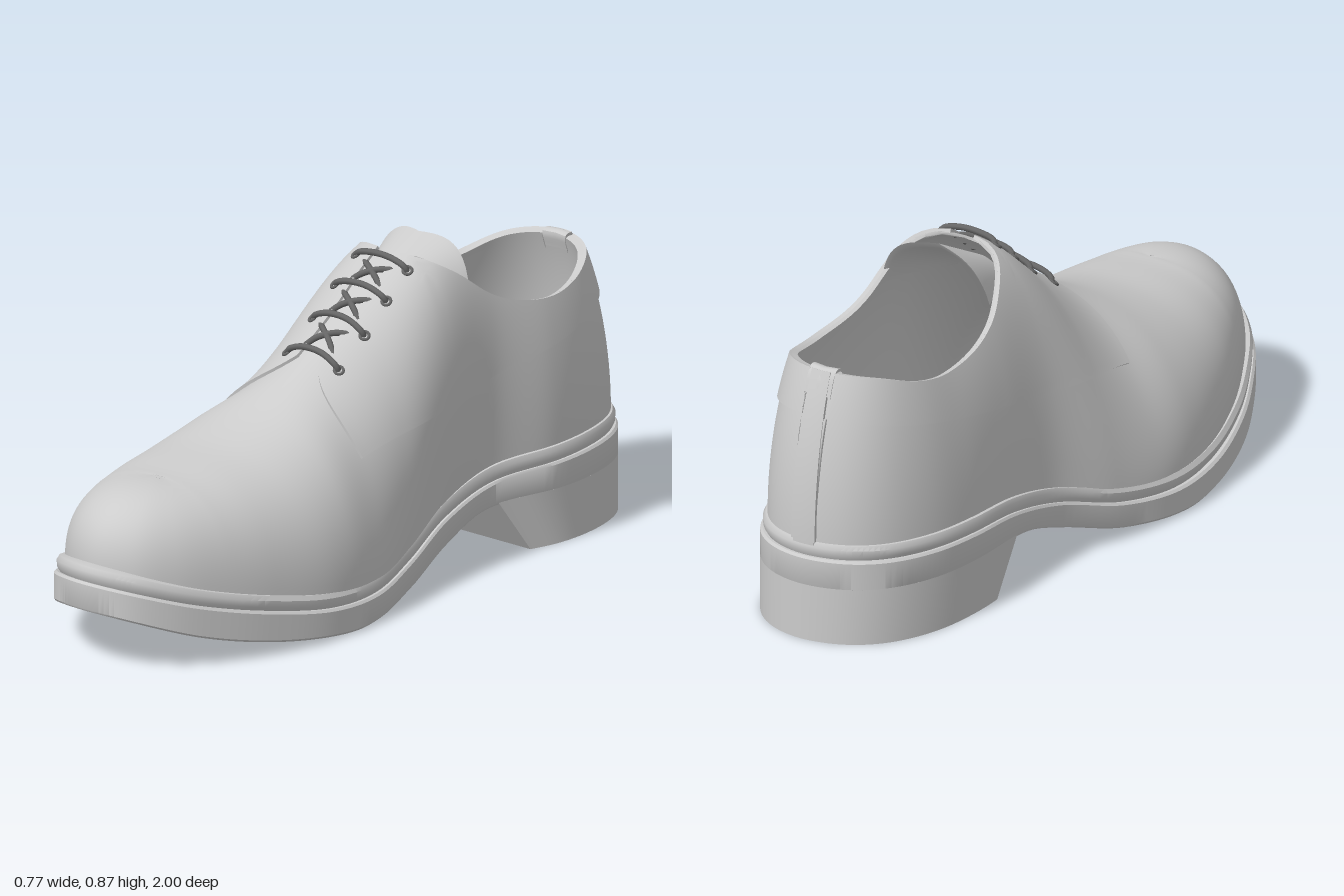
import * as THREE from 'three';
import { toCreasedNormals } from 'three/addons/utils/BufferGeometryUtils.js';

const V = (x, y, z) => new THREE.Vector3(x, y, z);
const lerp = THREE.MathUtils.lerp;
const material = new THREE.MeshStandardMaterial({ color: 0xcccccc, side: THREE.DoubleSide });
const laceMaterial = new THREE.MeshStandardMaterial({ color: 0x666666 });

// Smooth curve through [z, value] pairs
function track(pairs) {
  const slope = i => {
    const a = pairs[Math.max(i - 1, 0)], b = pairs[Math.min(i + 1, pairs.length - 1)];
    return (b[1] - a[1]) / (b[0] - a[0]);
  };
  return z => {
    z = THREE.MathUtils.clamp(z, pairs[0][0], pairs[pairs.length - 1][0]);
    let i = 0;
    while (i < pairs.length - 2 && z > pairs[i + 1][0]) i++;
    const [z0, y0] = pairs[i], [z1, y1] = pairs[i + 1];
    const h = z1 - z0, s = (z - z0) / h, r = 1 - s;
    return y0 * r * r * (1 + 2 * s) + y1 * s * s * (3 - 2 * s) + h * s * r * (slope(i) * r - slope(i + 1) * s);
  };
}

// Plan outline stations: z, left edge (+x), right edge (-x)
const stations = [
  [-1, 0, 0], [-0.97, 0.115, -0.12], [-0.89, 0.2, -0.21], [-0.76, 0.25, -0.268], [-0.6, 0.262, -0.288],
  [-0.4, 0.222, -0.282], [-0.2, 0.24, -0.288], [0, 0.295, -0.345], [0.2, 0.362, -0.382], [0.4, 0.385, -0.37],
  [0.6, 0.352, -0.315], [0.76, 0.301, -0.24], [0.88, 0.243, -0.163], [0.965, 0.165, -0.062], [1, 0.055, 0.055]];
const outline = new THREE.CatmullRomCurve3([
  ...stations.map(s => V(s[1], 0, s[0])),
  ...stations.slice(1, -1).reverse().map(s => V(s[2], 0, s[0]))], true, 'catmullrom', 0.5);
const plan = t => outline.getPoint(((t % 1) + 1) % 1);

// Lengthwise profiles
const centre = track([[-1, 0], [-0.6, -0.012], [-0.4, -0.028], [-0.2, -0.018], [0, 0], [0.3, 0.02], [0.6, 0.04], [0.7, 0.045], [1, 0.045]]);
const lean = track([[-1, 0], [-0.6, 0.035], [-0.4, 0.045], [-0.2, 0.05], [0, 0.035], [0.3, 0.008], [0.5, 0], [1, 0]]);
const fit = track([[-1, 0.93], [-0.4, 0.935], [0, 0.955], [1, 0.96]]);
const soleBottom = track([[-1, 0.15], [-0.41, 0.14], [-0.33, 0.13], [-0.2, 0.09], [0, 0.03], [0.25, 0.002],
  [0.4, 0.01], [0.6, 0.035], [0.8, 0.08], [1, 0.152]]);
const soleTop = track([[-1, 0.235], [-0.6, 0.222], [-0.4, 0.205], [-0.2, 0.16], [0, 0.1], [0.2, 0.076],
  [0.4, 0.085], [0.6, 0.118], [0.8, 0.165], [1, 0.23]]);
const weltTop = z => soleTop(z) + 0.044;
const ridge = track([[-1, 1.02], [-0.85, 0.98], [-0.6, 0.9], [-0.4, 0.9], [-0.2, 0.845], [0, 0.7], [0.15, 0.602],
  [0.3, 0.525], [0.45, 0.478], [0.6, 0.457], [0.7, 0.448], [1, 0.448]]);
const fullness = track([[-1, 1.9], [-0.8, 1.95], [-0.6, 2.15], [-0.35, 2.7], [-0.2, 2.7], [0, 1.95], [0.15, 1.75],
  [0.3, 2.1], [0.6, 2.4], [1, 2.5]]);
const collar = track([[-1, 0.725], [-0.9, 0.708], [-0.75, 0.673], [-0.62, 0.66], [-0.5, 0.675], [-0.4, 0.715], [-0.3, 0.785], [-0.2, 0.845]]);
const seam = track([[-1, 0.61], [-0.6, 0.535], [-0.3, 0.48], [0, 0.44], [0.2, 0.405]]);

// Superellipse cross-section of the upper at outline parameter t
function section(t) {
  const o = plan(t), z = o.z * 0.973 - 0.01, c = centre(z), b = weltTop(z) - 0.015;
  return { z, c, b, W: (o.x - c) * fit(z), H: ridge(z) - b, n: fullness(z) };
}
// Point on the upper; a runs from the welt (0) to the ridge (PI / 2), k shrinks it for the lining
function surface(t, a, k = 1) {
  const { z, c, b, W, H, n } = section(t);
  const w = k * Math.max(Math.cos(a), 0) ** (2 / n), v = Math.max(Math.sin(a), 0) ** (2 / n);
  const zz = z < -0.6 ? -0.6 + (z + 0.6) * w : z > 0.7 ? 0.7 + (z - 0.7) * w : z;
  return V(c + W * w + lean(z) * v, b + H * v * (0.8 + 0.2 * k), zz);
}
function raised(t, a, offset) {
  const p = surface(t, a), e = 1e-3, m = THREE.MathUtils.clamp(a, 0.02, Math.PI / 2 - 0.03);
  const up = surface(t, m + e).sub(surface(t, m - e));
  const along = surface(t + e, m).sub(surface(t - e, m));
  return p.addScaledVector(up.cross(along).normalize(), offset);
}
const angleAtHeight = (t, y) => {
  const { b, H, n } = section(t);
  return Math.asin(THREE.MathUtils.clamp((y - b) / H, 0, 1) ** (n / 2));
};
const angleAtWidth = (t, half) => {
  const { W, n } = section(t);
  return Math.acos(Math.min(half / Math.max(Math.abs(W), 1e-6), 1) ** (n / 2));
};
const rimAngle = t => {
  const { z } = section(t);
  return z > -0.2 ? Math.PI / 2 : angleAtHeight(t, collar(z));
};
function solve(f, target) {
  let lo = 0, hi = 0.5;
  for (let i = 0; i < 40; i++) {
    const m = (lo + hi) / 2;
    if (f(m) < target) lo = m; else hi = m;
  }
  return lo;
}
const upperT = z => solve(t => section(t).z, z);

// Mesh from a grid of points, f(i, j)
function sheet(name, cols, rows, f, crease = 0.6) {
  const pos = [], index = [];
  for (let i = 0; i <= cols; i++) for (let j = 0; j <= rows; j++) pos.push(...f(i, j).toArray());
  for (let i = 0; i < cols; i++) for (let j = 0; j < rows; j++) {
    const a = i * (rows + 1) + j, b = a + rows + 1;
    index.push(a, a + 1, b, b, a + 1, b + 1);
  }
  let g = new THREE.BufferGeometry();
  g.setAttribute('position', new THREE.Float32BufferAttribute(pos, 3));
  g.setIndex(index);
  g = toCreasedNormals(g.scale(100, 100, 100), crease).scale(0.01, 0.01, 0.01);
  const mesh = new THREE.Mesh(g, material);
  mesh.name = name;
  return mesh;
}
// Layer following the outline; the profile lists [inset, height function], closed to the centre
function layer(name, profile) {
  const N = 224, last = profile.length + 1;
  return sheet(name, N, last, (i, j) => {
    const [inset, y] = profile[THREE.MathUtils.clamp(j - 1, 0, last - 2)];
    const o = plan(i / N), c = centre(o.z);
    const k = j === 0 || j === last ? 0 : 1 - inset / 0.33;
    return V(c + (o.x - c) * k, y(o.z), o.z * (1 - inset));
  });
}
// Raised panel whose border drops back onto the upper
function panel(name, cols, rows, offset, at) {
  return sheet(name, cols + 2, rows + 2, (i, j) => {
    const border = i === 0 || j === 0 || i === cols + 2 || j === rows + 2;
    const u = THREE.MathUtils.clamp((i - 1) / cols, 0, 1), q = THREE.MathUtils.clamp((j - 1) / rows, 0, 1);
    const [t, a] = at(u, q);
    return raised(t, a, border ? -0.003 : offset);
  });
}

export function createModel() {
  const shoe = new THREE.Group();
  shoe.name = 'shoe';

  // Sole, welt and insole
  shoe.add(layer('sole', [[0.004, soleBottom], [0, z => soleBottom(z) + 0.006], [0, z => soleTop(z) - 0.006], [0.006, soleTop]]));
  shoe.add(layer('welt', [[0.016, z => soleTop(z) - 0.005], [0.008, z => soleTop(z) + 0.01],
    [0.007, z => soleTop(z) + 0.028], [0.014, z => soleTop(z) + 0.04], [0.06, weltTop]]));
  shoe.add(layer('insole', [[0.045, z => weltTop(z) - 0.01], [0.045, z => weltTop(z) + 0.005]]));

  // Heel block with a slanted breast
  const topT = solve(t => plan(t).z, -0.41), footT = solve(t => plan(t).z, -0.51), HN = 80;
  shoe.add(sheet('heel', HN + 2, 3, (i, j) => {
    const u = THREE.MathUtils.clamp((i - 1) / HN, 0, 1) * 2 - 1;
    const low = j < 2, o = plan(u * (low ? footT : topT));
    const inner = j === 0 || j === 3 || i === 0 || i === HN + 2;
    return V(inner ? centre(o.z) : o.x, low ? 0 : soleBottom(o.z) + 0.006, o.z);
  }));

  // Upper with its rim and lining
  const N = 280, M = 24;
  shoe.add(sheet('upper', N, 2 * M + 1, (i, j) => {
    const t = i / N, rim = rimAngle(t);
    return j <= M ? surface(t, rim * j / M) : surface(t, rim * (2 * M + 1 - j) / M, 0.94);
  }, 0.9));

  // Lacing quarters, mirrored in parameter from side to side
  const frontT = upperT(0.178);
  for (const side of [1, -1]) {
    shoe.add(panel(side > 0 ? 'leftQuarter' : 'rightQuarter', 110, 24, 0.008, (u, q) => {
      const s = side > 0 ? u : 1 - u, edge = frontT - 0.012 * q ** 4 - 0.003 * (1 - q) ** 4;
      const t = side * s * edge, high = Math.min(rimAngle(t), angleAtWidth(t, 0.036));
      return [t, lerp(angleAtHeight(t, seam(section(t).z)), high, q)];
    }));
  }

  // Back strap and the tab folded over the rim
  const strapT = 0.011;
  shoe.add(panel('backStrap', 8, 20, 0.011, (u, q) => {
    const t = lerp(-strapT, strapT, u);
    return [t, lerp(0.02, rimAngle(t), q)];
  }));
  const rim = rimAngle(0);
  const tabCurve = new THREE.CatmullRomCurve3([raised(0, rim - 0.1, 0.011), raised(0, rim - 0.02, 0.011),
    surface(0, rim).add(V(0, 0.008, 0)), surface(0, rim, 0.94).add(V(0, 0.007, 0.004)),
    surface(0, rim - 0.06, 0.94).add(V(0, 0, 0.007))]);
  shoe.add(sheet('backTab', 4, 16, (i, j) => {
    const x = (THREE.MathUtils.clamp(i, 1, 3) - 2) * 0.04, p = tabCurve.getPoint(j / 16);
    const border = i === 0 || i === 4;
    return V(x, p.y - (border ? 0.008 : 0), p.z + 0.007 * Math.abs(x) / 0.04);
  }));

  // Tongue flaring out of the throat
  shoe.add(sheet('tongue', 28, 34, (i, j) => {
    const u = i / 14 - 1, m = Math.abs(u), back = j > 17, s = (back ? 34 - j : j) / 17;
    const drop = lerp(0.035, 0.03, s) * u * u + 0.095 * s * m ** 4;
    return V(0.022 + u * lerp(0.07, 0.178 - 0.012 * m ** 6, s), lerp(0.765, 0.866, s) - drop - (back ? 0.01 : 0),
      lerp(-0.13, -0.322, s) - 0.024 * s * Math.sin(m * 2.6));
  }));

  // Eyelets and laces
  const onTop = (x, z, offset) => {
    const t = upperT(z), { c, b, H, z: zs } = section(t), apex = c + lean(zs);
    const sideT = x > apex ? t : 1 - t;
    return raised(sideT, angleAtWidth(sideT, Math.abs(x - apex)), offset * (H + b > 0 ? 1 : 0));
  };
  const lace = (name, points) => {
    const mesh = new THREE.Mesh(new THREE.TubeGeometry(new THREE.CatmullRomCurve3(points), 24, 0.0085, 8), laceMaterial);
    mesh.name = name;
    shoe.add(mesh);
  };
  const rows = [-0.17, -0.09, -0.005, 0.095], mid = 0.036;
  rows.forEach((z, r) => {
    for (const side of [1, -1]) {
      const x = mid + side * 0.087, p = onTop(x, z, 0.01), n = onTop(x, z, 1.01).sub(p);
      const eyelet = new THREE.Mesh(new THREE.TorusGeometry(0.012, 0.004, 8, 18), laceMaterial);
      eyelet.name = 'eyelet';
      eyelet.position.copy(p);
      eyelet.quaternion.setFromUnitVectors(V(0, 0, 1), n.normalize());
      shoe.add(eyelet);
      if (r < 3) lace('crossLace', [onTop(mid + side * 0.05, lerp(z, rows[r + 1], 0.2), 0),
        onTop(mid + side * 0.02, lerp(z, rows[r + 1], 0.38), 0.008),
        onTop(mid - side * 0.02, lerp(z, rows[r + 1], 0.62), 0.008), onTop(mid - side * 0.05, lerp(z, rows[r + 1], 0.8), 0)]);
    }
    lace('laceBar', [[-0.087, 0], [-0.076, 0.015], [-0.03, 0.019], [0.03, 0.019], [0.076, 0.015], [0.087, 0]]
      .map(([x, h]) => onTop(mid + x, z, h)));
  });
  return shoe;
}
